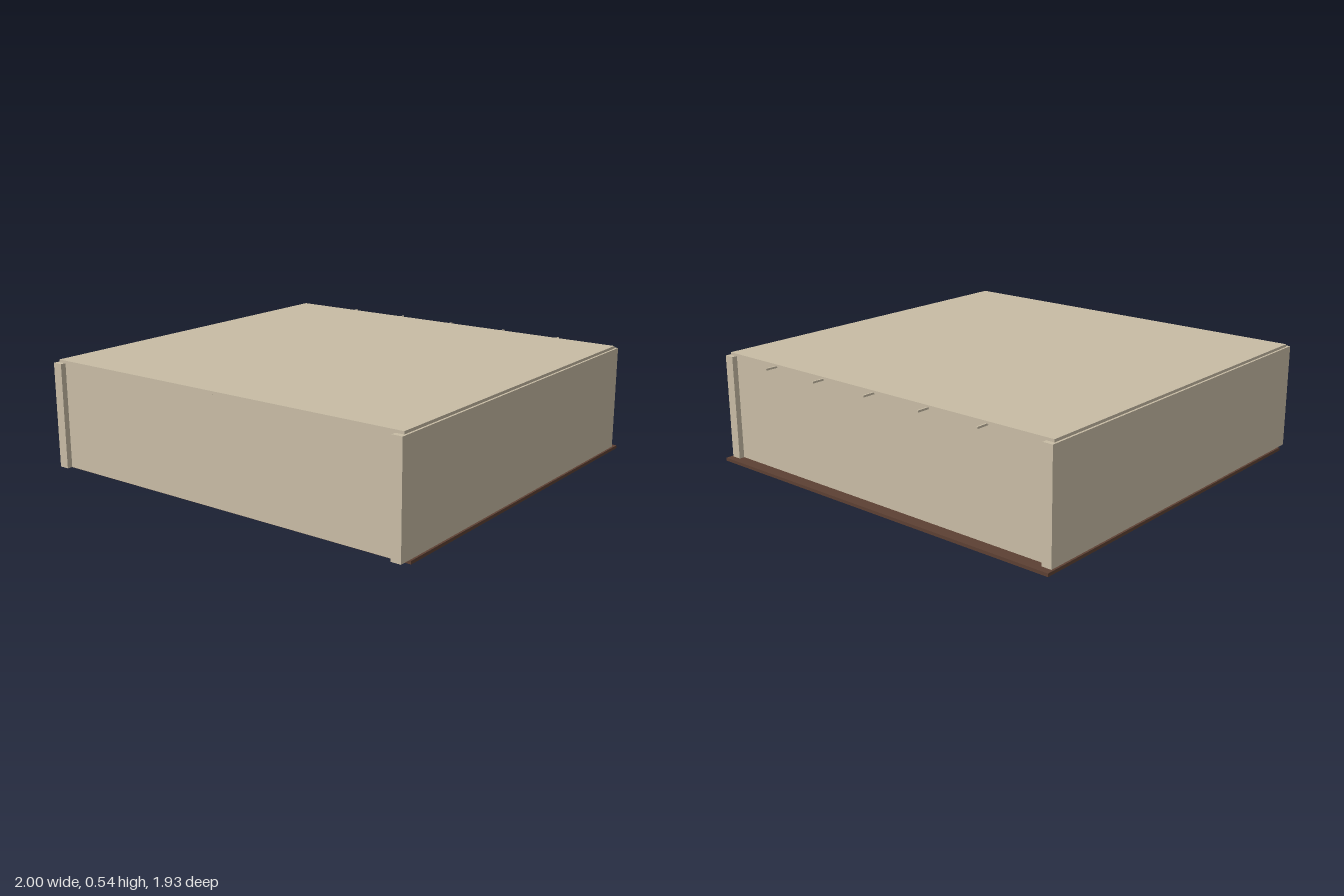
import * as THREE from 'three';

const cladding = new THREE.MeshStandardMaterial({ color: 0xc8bca5 });
cladding.name = 'beige cladding';
const floorBrown = new THREE.MeshStandardMaterial({ color: 0x5c4033 });
floorBrown.name = 'dark brown floor';

// Box given by its lower and upper limits on each axis
function block(name, material, [x0, x1], [y0, y1], [z0, z1]) {
  const mesh = new THREE.Mesh(new THREE.BoxGeometry(x1 - x0, y1 - y0, z1 - z0), material);
  mesh.position.set((x0 + x1) / 2, (y0 + y1) / 2, (z0 + z1) / 2);
  mesh.name = name;
  return mesh;
}

export function createModel() {
  const model = new THREE.Group();
  model.name = 'shed';
  const add = (...args) => model.add(block(...args));

  const floorTop = 0.015, seam = 0.44, wallTop = 0.527;
  const front = 0.965, back = -0.928; // outer faces of the corner posts
  const inset = 0.027;                // panels sit behind the posts

  // Floor slab, set back from the front
  add('floor', floorBrown, [-1, 1], [0, floorTop], [-0.962, 0.91]);

  // Walls in two courses: lower panel and upper band
  for (const [label, y] of [['Panel', [floorTop, seam]], ['Band', [seam, wallTop]]]) {
    add('front' + label, cladding, [-0.94, 0.94], y, [front - inset - 0.02, front - inset]);
    add('back' + label, cladding, [-0.94, 0.94], y, [back + inset, back + inset + 0.02]);
    add('right' + label, cladding, [-0.99, -0.975], y, [back + 0.05, front - 0.05]);
    add('left' + label, cladding, [0.975, 0.99], y, [back + 0.05, front - 0.05]);
  }

  // Corner posts
  for (const x of [[-0.99, -0.94], [0.94, 0.99]]) {
    add('frontPost', cladding, x, [floorTop, wallTop], [front - 0.05, front]);
    add('backPost', cladding, x, [floorTop, wallTop], [back, back + 0.05]);
  }

  // Flat roof sheet
  add('roof', cladding, [-0.98, 0.98], [wallTop, 0.54], [-0.905, 0.94]);

  // Roof rafters, with their tails showing behind the back wall
  for (let i = -2; i <= 2; i++) {
    const x = i * 0.322;
    add('rafter', cladding, [x - 0.004, x + 0.004], [0.523, 0.532], [-0.965, 0.939]);
  }
  return model;
}
